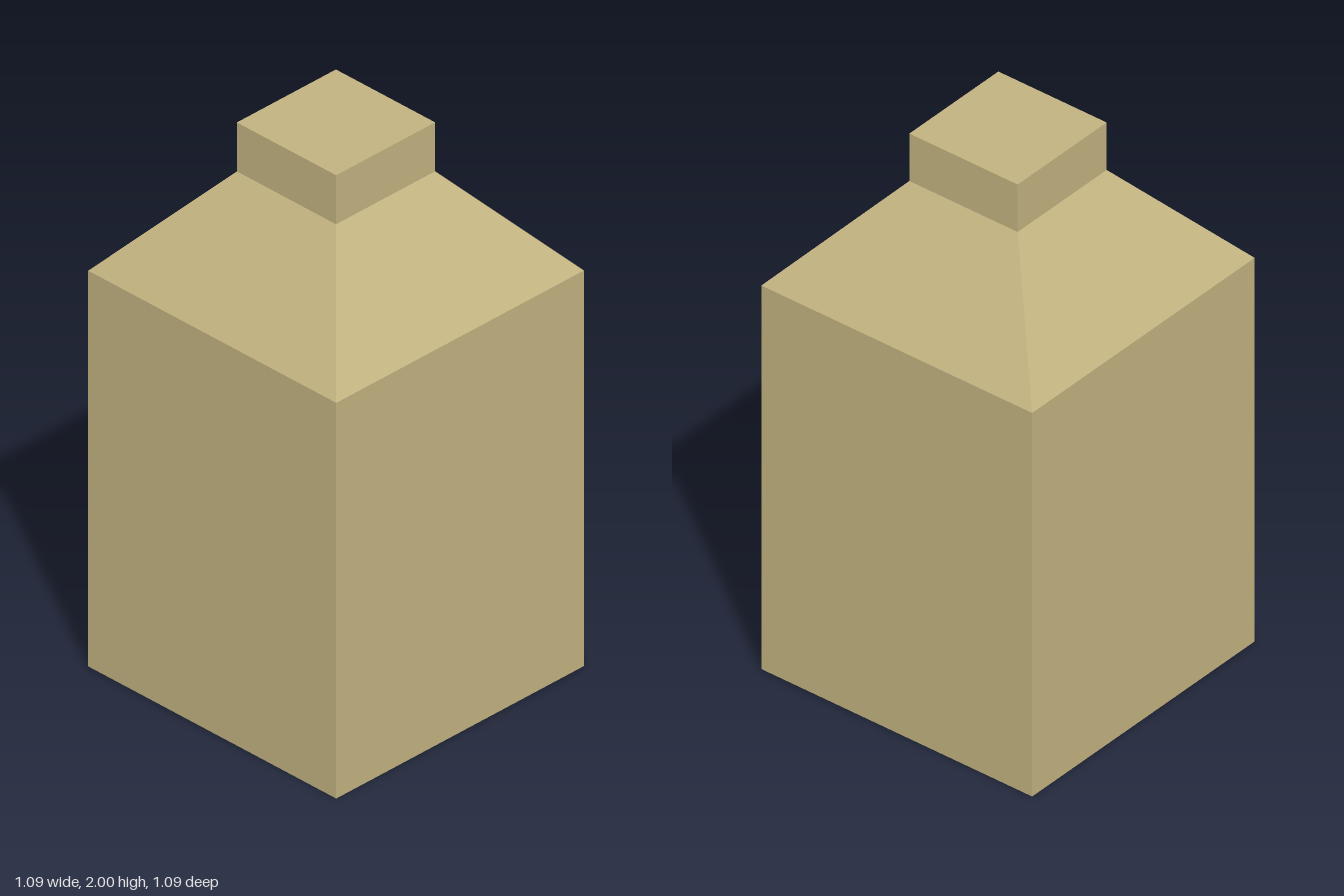
import * as THREE from 'three';

// Half widths and heights of the square bottle
const BODY = 0.545, NECK = 0.218;
const SHOULDER_Y = 1.455, NECK_Y = 1.82, TOP_Y = 2;

// Four-sided shell swept from [halfWidth, y] pairs, listed bottom to top
function squareShell(name, profile, material) {
  const points = profile.map(([half, y]) => new THREE.Vector2(half * Math.SQRT2, y));
  const geometry = new THREE.LatheGeometry(points, 4, Math.PI / 4).toNonIndexed();
  geometry.computeVertexNormals();
  const mesh = new THREE.Mesh(geometry, material);
  mesh.name = name;
  return mesh;
}

export function createModel() {
  const material = new THREE.MeshStandardMaterial({ color: 0xc2b280, flatShading: true });
  const group = new THREE.Group();
  group.name = 'squareBottle';
  group.add(
    // Closed base and upright walls
    squareShell('body', [[0, 0], [BODY, 0], [BODY, SHOULDER_Y]], material),
    // Sloping transition to the neck
    squareShell('shoulder', [[BODY, SHOULDER_Y], [NECK, NECK_Y]], material),
    // Short neck with a closed top
    squareShell('neck', [[NECK, NECK_Y], [NECK, TOP_Y], [0, TOP_Y]], material),
  );
  return group;
}
